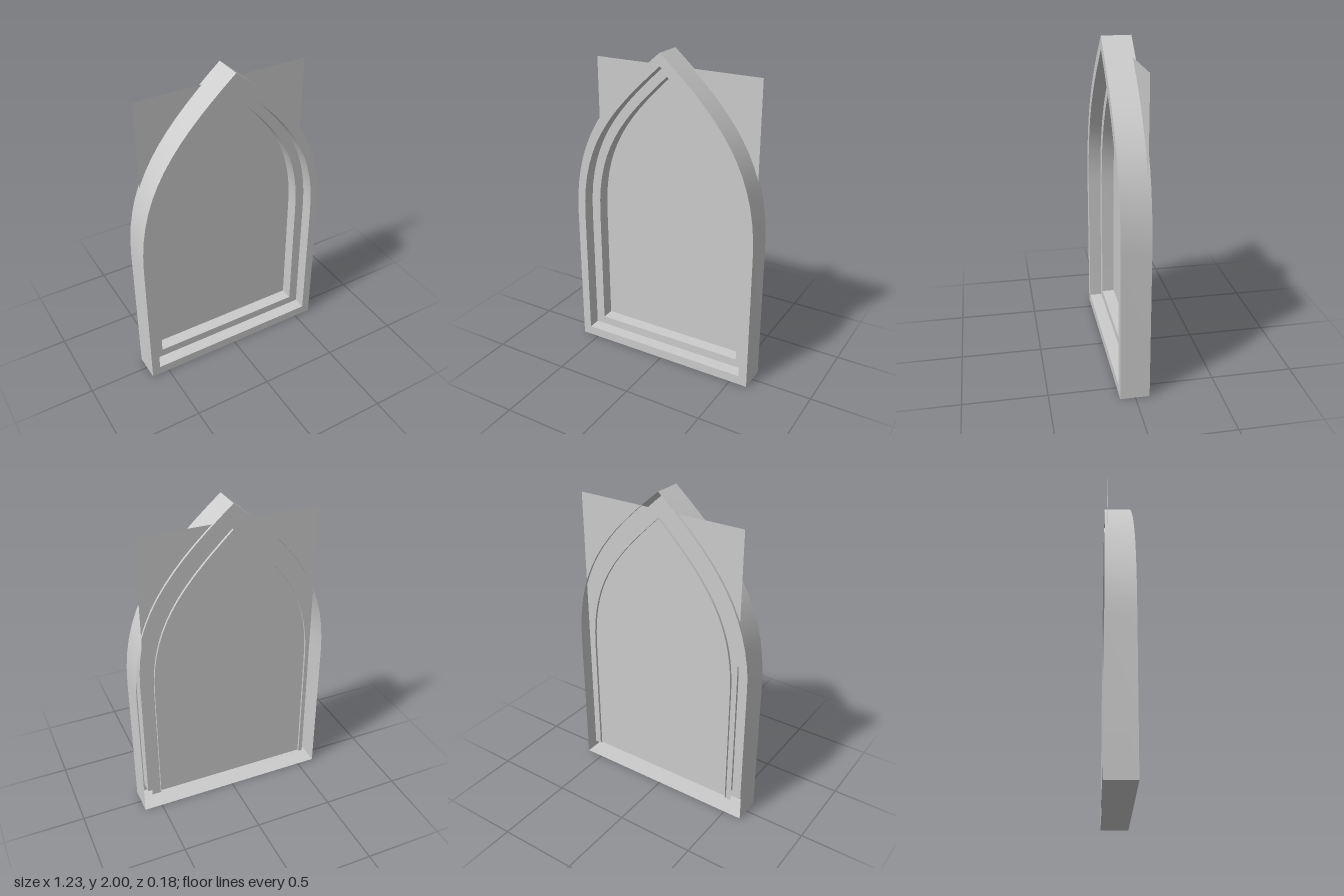
import * as THREE from 'three';
import { toCreasedNormals } from 'three/addons/utils/BufferGeometryUtils.js';

const FRONT = 0.09, STEP = 0.01, BACK = -0.085, PANE = -0.07;

// Pointed arch outline, counter-clockwise from the bottom right corner.
function archOutline(halfWidth, bottom, shoulder, bend, tip) {
  const v = (x, y) => new THREE.Vector2(x, y);
  const side = new THREE.CubicBezierCurve(
    v(halfWidth, 0.9), v(halfWidth, shoulder), v(...bend), v(0, tip)
  ).getPoints(14);
  const right = [v(halfWidth, bottom), ...side];
  const left = right.slice(0, -1).reverse().map((p) => v(-p.x, p.y));
  return [...right, ...left];
}

// Closed strip of quads joining two outlines at two depths.
function strip(a, za, b, zb) {
  const pos = [];
  const n = a.length;
  for (let i = 0; i < n; i++) {
    const j = (i + 1) % n;
    const a0 = [a[i].x, a[i].y, za], a1 = [a[j].x, a[j].y, za];
    const b0 = [b[i].x, b[i].y, zb], b1 = [b[j].x, b[j].y, zb];
    pos.push(...a0, ...a1, ...b1, ...a0, ...b1, ...b0);
  }
  const g = new THREE.BufferGeometry();
  g.setAttribute('position', new THREE.Float32BufferAttribute(pos, 3));
  return toCreasedNormals(g, Math.PI / 6);
}

export function createModel() {
  const group = new THREE.Group();
  group.name = 'archedWindow';
  const material = new THREE.MeshStandardMaterial({ color: 0xcccccc, side: THREE.DoubleSide });
  const add = (name, geometry) => {
    const mesh = new THREE.Mesh(geometry, material);
    mesh.name = name;
    group.add(mesh);
    return mesh;
  };

  const outer = archOutline(0.614, 0, 1.42, [0.38, 1.68], 2);
  const middle = archOutline(0.56, 0.06, 1.38, [0.35, 1.61], 1.925);
  const inner = archOutline(0.5, 0.115, 1.34, [0.32, 1.55], 1.85);

  // Stepped frame, a shell open at the back
  add('outerWall', strip(outer, BACK, outer, FRONT));
  add('frontRim', strip(outer, FRONT, middle, FRONT));
  add('upperReveal', strip(middle, FRONT, middle, STEP));
  add('recessedRim', strip(middle, STEP, inner, STEP));
  add('lowerReveal', strip(inner, STEP, inner, BACK));

  // Flat rectangular pane behind the opening, its corners showing past the arch
  const left = -0.534, right = 0.555, bottom = 0.1, top = 1.895;
  add('pane', new THREE.PlaneGeometry(right - left, top - bottom))
    .position.set((left + right) / 2, (bottom + top) / 2, PANE);

  return group;
}
